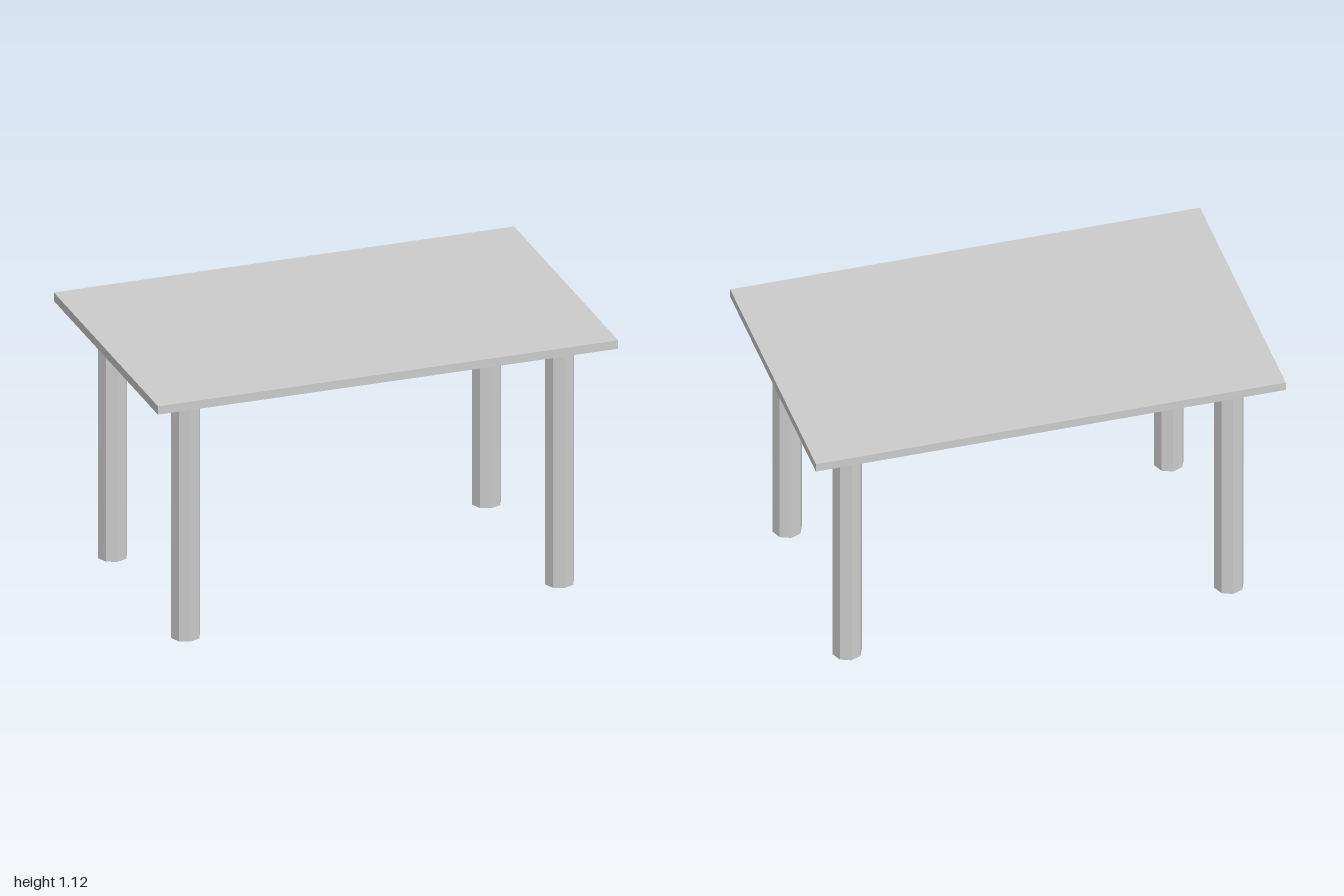
import * as THREE from 'three';

export function createModel() {
  const table = new THREE.Group();
  table.name = 'table';
  const material = new THREE.MeshStandardMaterial({ color: 0xcccccc, flatShading: true });

  const height = 1.125, thickness = 0.0375;
  const legHeight = height - thickness;

  // Thin rectangular top
  const top = new THREE.Mesh(new THREE.BoxGeometry(2, thickness, 1.25), material);
  top.name = 'tableTop';
  top.position.y = height - thickness / 2;
  table.add(top);

  // Four octagonal legs, inset from the corners
  const legGeometry = new THREE.CylinderGeometry(0.0625, 0.0625, legHeight, 8);
  for (const [zName, z] of [['front', 1], ['back', -1]]) {
    for (const [xName, x] of [['Left', 1], ['Right', -1]]) {
      const leg = new THREE.Mesh(legGeometry, material);
      leg.name = `${zName}${xName}Leg`;
      leg.position.set(x * 0.8125, legHeight / 2, z * 0.4375);
      table.add(leg);
    }
  }

  return table;
}
